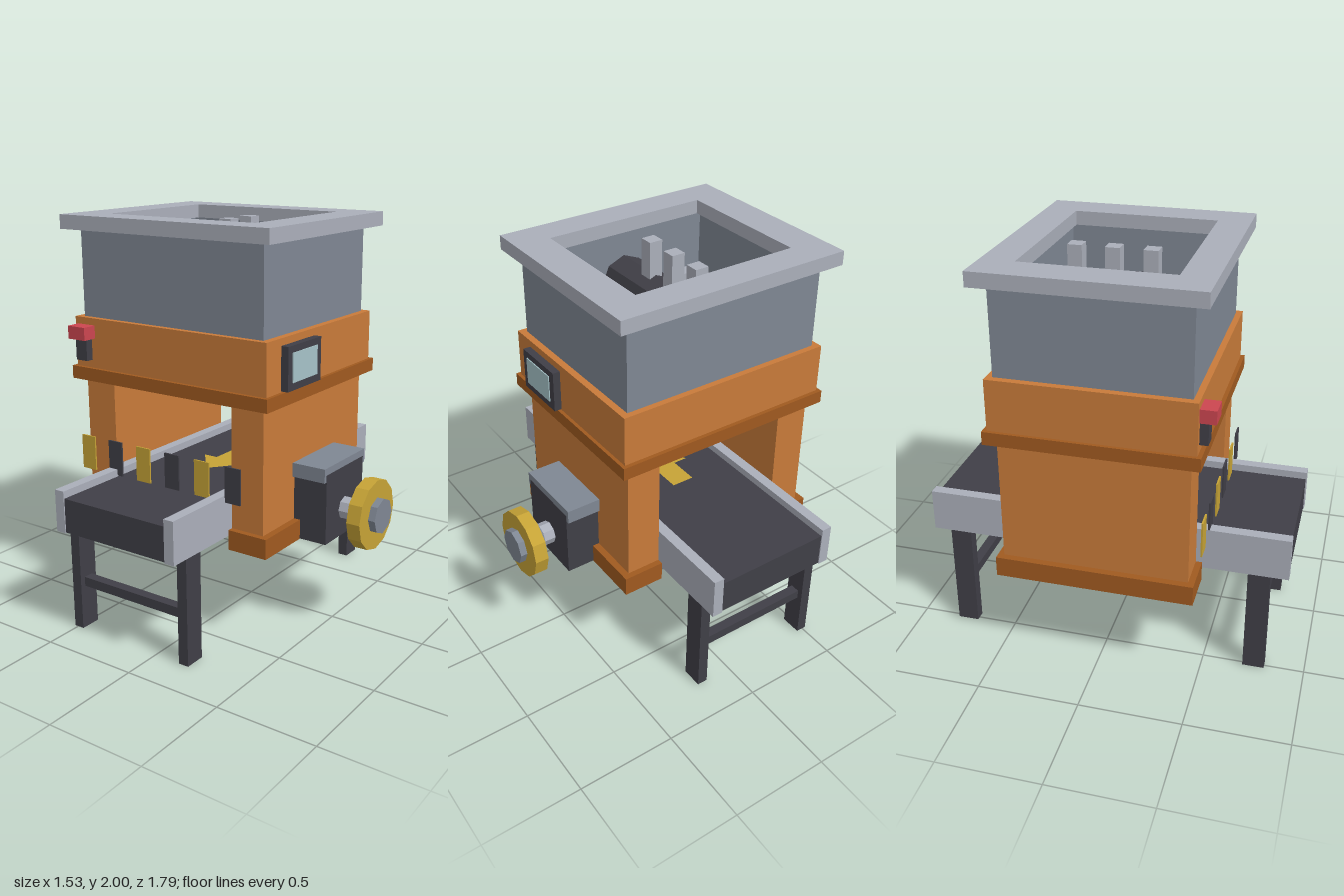
import * as THREE from 'three';

const CX = -0.163; // machine centre line

function mat(name, color, double) {
  const m = new THREE.MeshStandardMaterial({ color, side: double ? THREE.DoubleSide : THREE.FrontSide });
  m.name = name;
  return m;
}

export function createModel() {
  const model = new THREE.Group();
  model.name = 'shredderWithConveyor';

  const orange = mat('orange paint', 0xc87b3a);
  const rust = mat('dark orange trim', 0xa05a20);
  const slate = mat('slate steel', 0x7f8793);
  const steel = mat('light steel', 0xabafba);
  const dark = mat('charcoal', 0x403f47);
  const yellow = mat('safety yellow', 0xc6a336, true);
  const red = mat('stop red', 0xcc4650);
  const glass = mat('screen glass', 0xa6c3c8);
  const olive = mat('shredded material', 0x8b8068);

  const add = (name, geo, material) => {
    const mesh = new THREE.Mesh(geo, material);
    mesh.name = name;
    model.add(mesh);
    return mesh;
  };
  // Box given by its extents on each axis
  const box = (name, material, x0, x1, y0, y1, z0, z1) => {
    const mesh = add(name, new THREE.BoxGeometry(x1 - x0, y1 - y0, z1 - z0), material);
    mesh.position.set((x0 + x1) / 2, (y0 + y1) / 2, (z0 + z1) / 2);
    return mesh;
  };
  // Box centred on the machine line, by half width and half depth
  const block = (name, material, hx, y0, y1, hz) =>
    box(name, material, CX - hx, CX + hx, y0, y1, -hz, hz);
  // Same box on both sides of the machine line, by distances from it
  const pair = (name, material, a, b, y0, y1, z0, z1) => {
    box(name + 'Left', material, CX + a, CX + b, y0, y1, z0, z1);
    box(name + 'Right', material, CX - b, CX - a, y0, y1, z0, z1);
  };
  // Rectangular frame, open at top and bottom
  const frame = (name, material, hx, hz, ix, iz, y0, y1) => {
    const rect = (C, w, d) => new C([[-w, -d], [w, -d], [w, d], [-w, d]].map(p => new THREE.Vector2(...p)));
    const shape = rect(THREE.Shape, hx, hz);
    shape.holes.push(rect(THREE.Path, ix, iz));
    const geo = new THREE.ExtrudeGeometry(shape, { depth: y1 - y0, bevelEnabled: false });
    geo.rotateX(-Math.PI / 2);
    add(name, geo, material).position.set(CX, y0, 0);
  };
  // Faceted cylinder lying along x
  const axle = (name, material, r, sides, x0, x1) => {
    const geo = new THREE.CylinderGeometry(r, r, x1 - x0, sides).toNonIndexed();
    geo.computeVertexNormals();
    geo.rotateZ(-Math.PI / 2);
    add(name, geo, material).position.set((x0 + x1) / 2, 0.61, 0);
  };

  // Hopper
  frame('hopperRim', steel, 0.607, 0.518, 0.428, 0.357, 1.93, 2);
  frame('hopperWalls', slate, 0.535, 0.45, 0.475, 0.39, 1.5, 1.93);

  // Body
  block('upperBody', orange, 0.57, 1.25, 1.5, 0.48);
  block('bodyFlange', rust, 0.5875, 1.185, 1.25, 0.5);
  pair('sideColumn', orange, 0.358, 0.535, 0.57, 1.185, -0.45, 0.45);
  pair('columnFoot', rust, 0.358, 0.57, 0.47, 0.57, -0.48, 0.48);

  // Rotor with alternating teeth
  const rotorY = 1.67;
  const rotorGeo = new THREE.CylinderGeometry(0.127, 0.127, 0.77, 8).toNonIndexed();
  rotorGeo.computeVertexNormals();
  rotorGeo.rotateX(Math.PI / 2);
  add('rotor', rotorGeo, dark).position.set(CX, rotorY, 0);
  for (const z of [-0.31, -0.13, 0.05, 0.23])
    block('sideTooth', steel, 0.3, rotorY - 0.035, rotorY + 0.035, 0.035).position.z = z;
  for (const z of [-0.22, -0.04, 0.14])
    block('uprightTooth', steel, 0.035, 1.5, rotorY + 0.3, 0.035).position.z = z;
  pair('bearing', dark, 0.36, 0.47, 1.56, 1.7, -0.07, 0.07);
  block('materialBed', olive, 0.25, 1.5, 1.508, 0.25);

  // Conveyor
  block('conveyorBelt', dark, 0.305, 0.543, 0.715, 0.888);
  pair('conveyorRail', steel, 0.303, 0.357, 0.54, 0.752, -0.893, 0.893);
  for (const z of [-0.753, 0.753]) {
    pair('conveyorLeg', dark, 0.303, 0.357, 0, 0.54, z - 0.053, z + 0.053);
    block('legBrace', dark, 0.305, 0.22, 0.268, 0.025).position.z = z;
  }

  // Direction arrow on the belt
  const half = [[0.06, -0.16], [0.06, 0], [0.138, 0], [0, 0.17]];
  const outline = [...half, ...half.slice(0, 3).reverse().map(([x, z]) => [-x, z])];
  const arrowGeo = new THREE.ShapeGeometry(new THREE.Shape(outline.map(([x, z]) => new THREE.Vector2(x, -z))));
  arrowGeo.rotateX(-Math.PI / 2);
  add('beltArrow', arrowGeo, yellow).position.set(CX, 0.722, 0);

  // Row of hazard plates at the inlet
  for (let i = 0; i < 6; i++) {
    const x = -0.655 + i * 0.179;
    box('hazardPlate', i % 2 ? dark : yellow, x - 0.043, x + 0.043, 0.72, 0.897, 0.502, 0.51);
  }

  // Stop button
  box('stopButtonBase', dark, -0.7, -0.63, 1.29, 1.4, 0.48, 0.52);
  box('stopButton', red, -0.715, -0.608, 1.4, 1.465, 0.48, 0.555);

  // Control screen
  box('screenFrame', dark, 0.405, 0.445, 1.255, 1.465, 0.073, 0.36);
  box('screen', glass, 0.444, 0.45, 1.292, 1.432, 0.112, 0.325);

  // Motor and handwheel
  box('motorHousing', dark, 0.37, 0.552, 0.472, 0.825, -0.178, 0.178);
  box('motorLid', slate, 0.37, 0.55, 0.79, 0.86, -0.195, 0.195);
  axle('wheelShaft', steel, 0.058, 8, 0.55, 0.63);
  axle('wheelHub', slate, 0.089, 8, 0.622, 0.765);
  axle('handwheel', yellow, 0.176, 12, 0.66, 0.73);

  return model;
}
